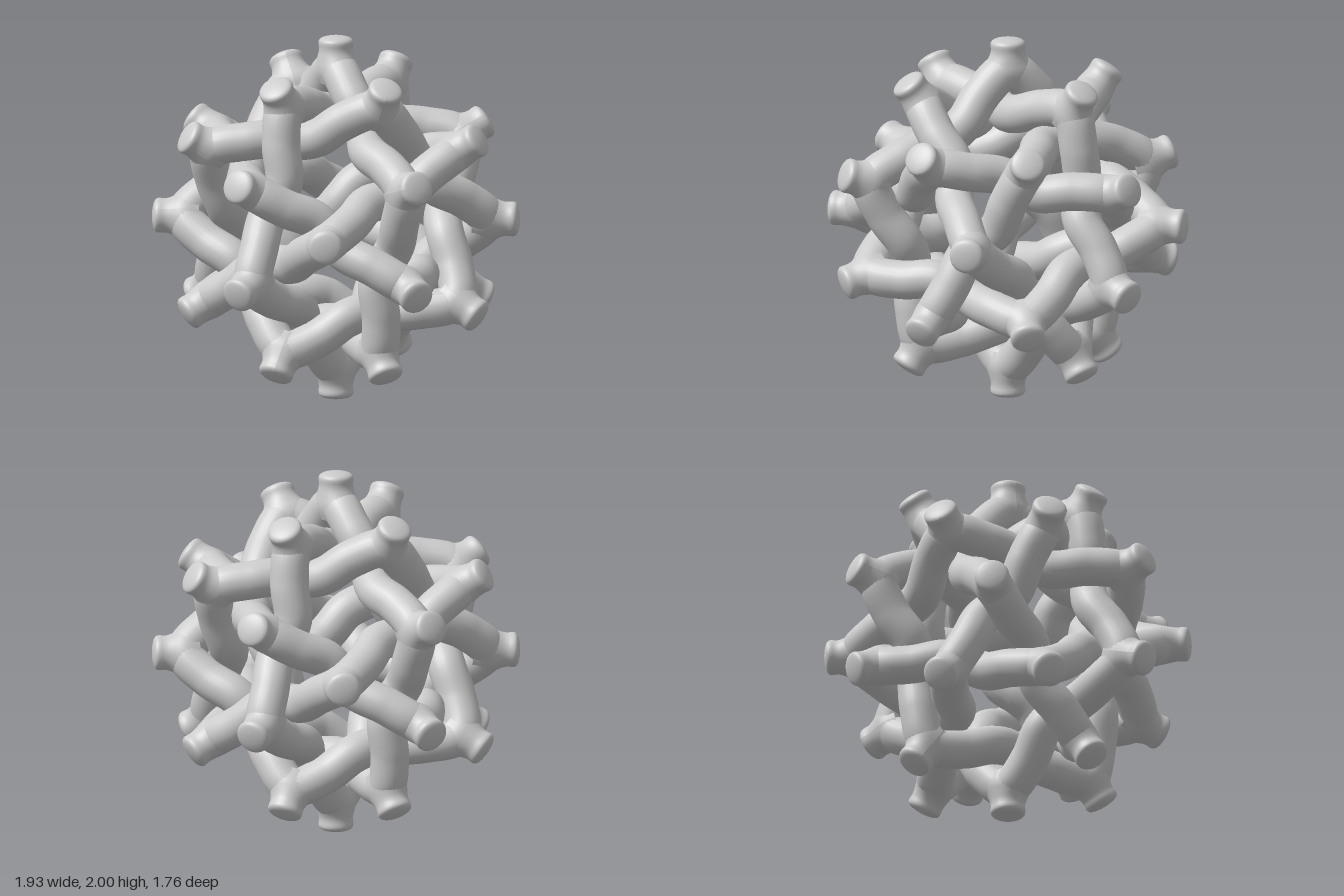
import * as THREE from 'three';

const CORNER = 0.82; // distance of the ring corners from the centre
const ROD = 0.105; // rod radius

// one corner and the next one for each of the six interlocked pentagon rings
const RINGS = [
  [[0, 1, 0], [-0.425, 0.309, 0.851]],
  [[0, -1, 0], [0.951, -0.309, 0]],
  [[-0.851, 0, 0.526], [0.162, 0.5, 0.851]],
  [[-0.263, 0.809, 0.526], [0.526, 0, 0.851]],
  [[-0.425, -0.309, 0.851], [0.688, -0.5, 0.526]],
  [[0.688, 0.5, 0.526], [0.162, -0.5, 0.851]],
];

// course of one side: fraction along it, pull towards the centre, sideways sway
const SIDE = [
  [0, 1, 0], [0.2, 0.985, 0.01], [0.37, 0.905, 0.034],
  [0.5, 0.875, 0], [0.63, 0.905, -0.034], [0.8, 0.985, -0.01],
];

// closed rod with five corners, each side dipping and swaying under a knob
function ringGeometry() {
  const corner = (k) => {
    const a = Math.PI / 2 + (k * Math.PI * 2) / 5;
    return new THREE.Vector3(Math.cos(a), Math.sin(a), 0).multiplyScalar(CORNER);
  };
  const points = [];
  for (let k = 0; k < 5; k++) {
    for (const [t, pull, sway] of SIDE) {
      const p = corner(k).lerp(corner(k + 1), t).multiplyScalar(pull);
      p.z = sway;
      points.push(p);
    }
  }
  const path = new THREE.CatmullRomCurve3(points, true, 'centripetal');
  return new THREE.TubeGeometry(path, 240, ROD, 24, true);
}

// slightly flared stub, widened in the ring plane where it blends into the rods
function knobGeometry() {
  const profile = [
    [0.085, 0.74], [0.103, 0.79], [0.107, 0.83], [0.101, 0.87], [0.094, 0.91],
    [0.093, 0.935], [0.095, 0.955], [0.094, 0.97], [0.086, 0.982], [0.068, 0.991],
    [0.035, 0.998], [0, 1],
  ].map(([r, y]) => new THREE.Vector2(r, y));
  const geo = new THREE.LatheGeometry(new THREE.SplineCurve(profile).getPoints(36), 32);
  const pos = geo.attributes.position;
  for (let i = 0; i < pos.count; i++) {
    const t = THREE.MathUtils.clamp((0.94 - pos.getY(i)) / 0.16, 0, 1);
    pos.setX(i, pos.getX(i) * (1 + 0.9 * t * t));
  }
  geo.computeVertexNormals();
  return geo;
}

export function createModel() {
  const model = new THREE.Group();
  model.name = 'interlockedPentagons';
  const material = new THREE.MeshStandardMaterial({ color: 0xcccccc });
  const ringGeo = ringGeometry();
  const knobGeo = knobGeometry();

  RINGS.forEach(([first, next], i) => {
    const ring = new THREE.Group();
    ring.name = `pentagonRing${i + 1}`;

    // ring plane through the centre, first corner along local y
    const up = new THREE.Vector3(...first).normalize();
    const side = new THREE.Vector3(...next);
    side.addScaledVector(up, -side.dot(up)).normalize();
    const normal = new THREE.Vector3().crossVectors(side, up);
    ring.quaternion.setFromRotationMatrix(new THREE.Matrix4().makeBasis(side, up, normal));
    ring.position.y = 1;

    const rods = new THREE.Mesh(ringGeo, material);
    rods.name = 'rods';
    ring.add(rods);

    for (let k = 0; k < 5; k++) {
      const knob = new THREE.Mesh(knobGeo, material);
      knob.name = `cornerKnob${k + 1}`;
      knob.rotation.z = (k * Math.PI * 2) / 5;
      ring.add(knob);
    }
    model.add(ring);
  });
  return model;
}
